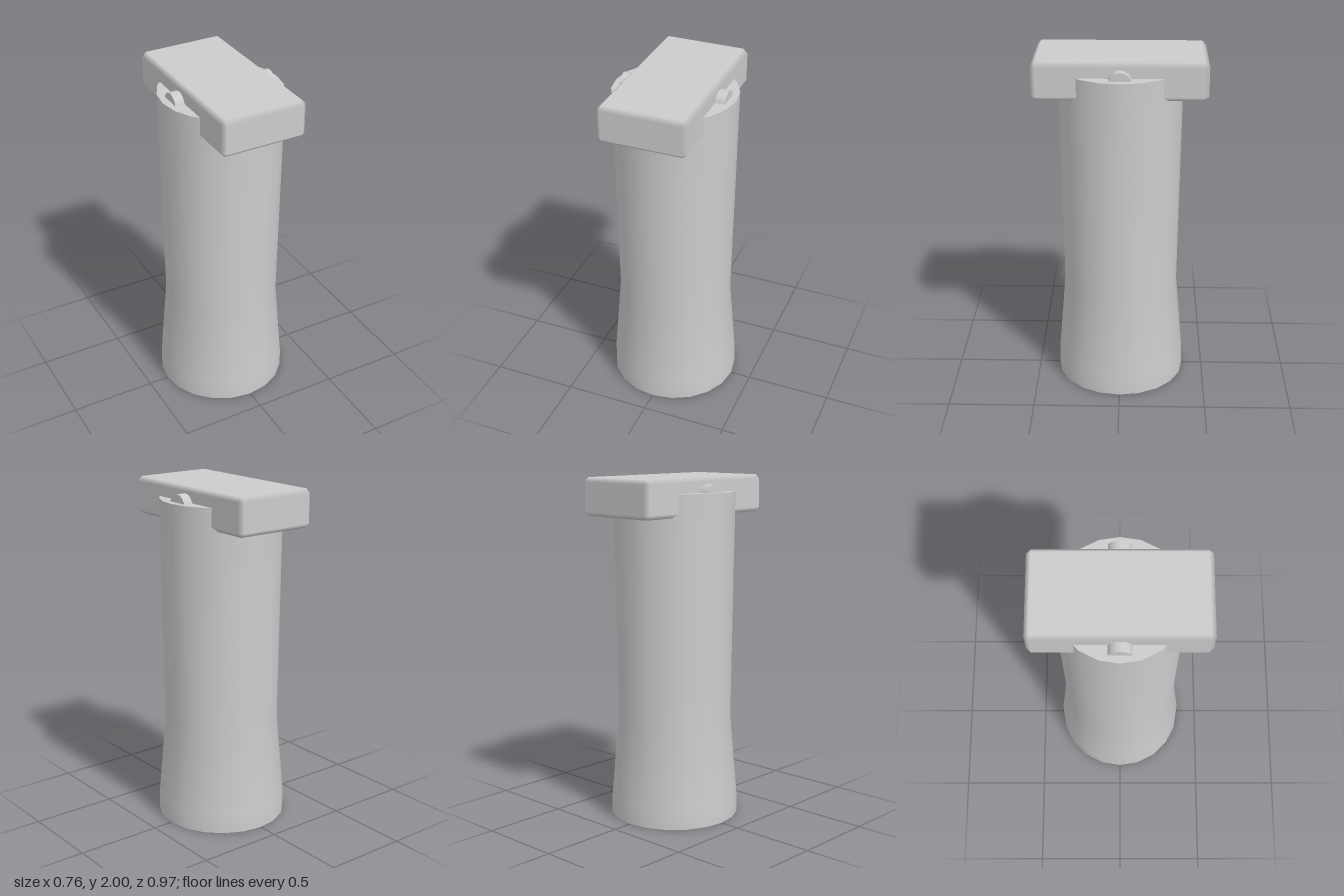
import * as THREE from 'three';
import { ConvexGeometry } from 'three/addons/geometries/ConvexGeometry.js';

const SIDES = 20;

// Box with chamfered edges, shaded smoothly across the chamfers
function chamferBox(hx, hy, hz, bevel) {
  const half = [hx, hy, hz];
  const points = [];
  for (const sx of [-1, 1]) for (const sy of [-1, 1]) for (const sz of [-1, 1]) {
    const sign = [sx, sy, sz];
    for (let axis = 0; axis < 3; axis++) {
      points.push(new THREE.Vector3(...half.map((h, i) => sign[i] * (i === axis ? h : h - bevel))));
    }
  }
  const geometry = new ConvexGeometry(points);
  const pos = geometry.attributes.position;
  const normal = geometry.attributes.normal;
  for (let i = 0; i < pos.count; i++) {
    const p = [pos.getX(i), pos.getY(i), pos.getZ(i)];
    // each corner point lies on exactly one main face and takes its normal
    normal.setXYZ(i, ...p.map((v, k) => (Math.abs(Math.abs(v) - half[k]) < 1e-4 ? Math.sign(v) : 0)));
  }
  return geometry;
}

export function createModel() {
  const model = new THREE.Group();
  model.name = 'model';
  const grey = new THREE.MeshStandardMaterial({ color: 0xcccccc });
  grey.name = 'light grey';

  const add = (name, geometry, parent = model) => {
    const mesh = new THREE.Mesh(geometry, grey);
    mesh.name = name;
    parent.add(mesh);
    return mesh;
  };

  // Column: flared foot, slim waist, slightly widening to the top
  const column = new THREE.Group();
  column.name = 'column';
  model.add(column);
  const profile = [[0.378, 0], [0.377, 0.11], [0.335, 0.6], [0.352, 1.915]]
    .map(([r, y]) => new THREE.Vector2(r, y));
  add('columnSide', new THREE.LatheGeometry(profile, SIDES), column);
  add('columnTop', new THREE.CircleGeometry(0.352, SIDES).rotateX(-Math.PI / 2), column).position.y = 1.915;
  add('columnBase', new THREE.CircleGeometry(0.378, SIDES).rotateX(Math.PI / 2), column);

  // Crossbar lying front to back, sunk into the top of the column
  add('crossbar', chamferBox(0.253, 0.1075, 0.484, 0.025)).position.y = 1.8925;

  // Pin through the crossbar
  add('pin', new THREE.CylinderGeometry(0.066, 0.066, 0.616, 16).rotateZ(Math.PI / 2)).position.y = 1.897;

  return model;
}
